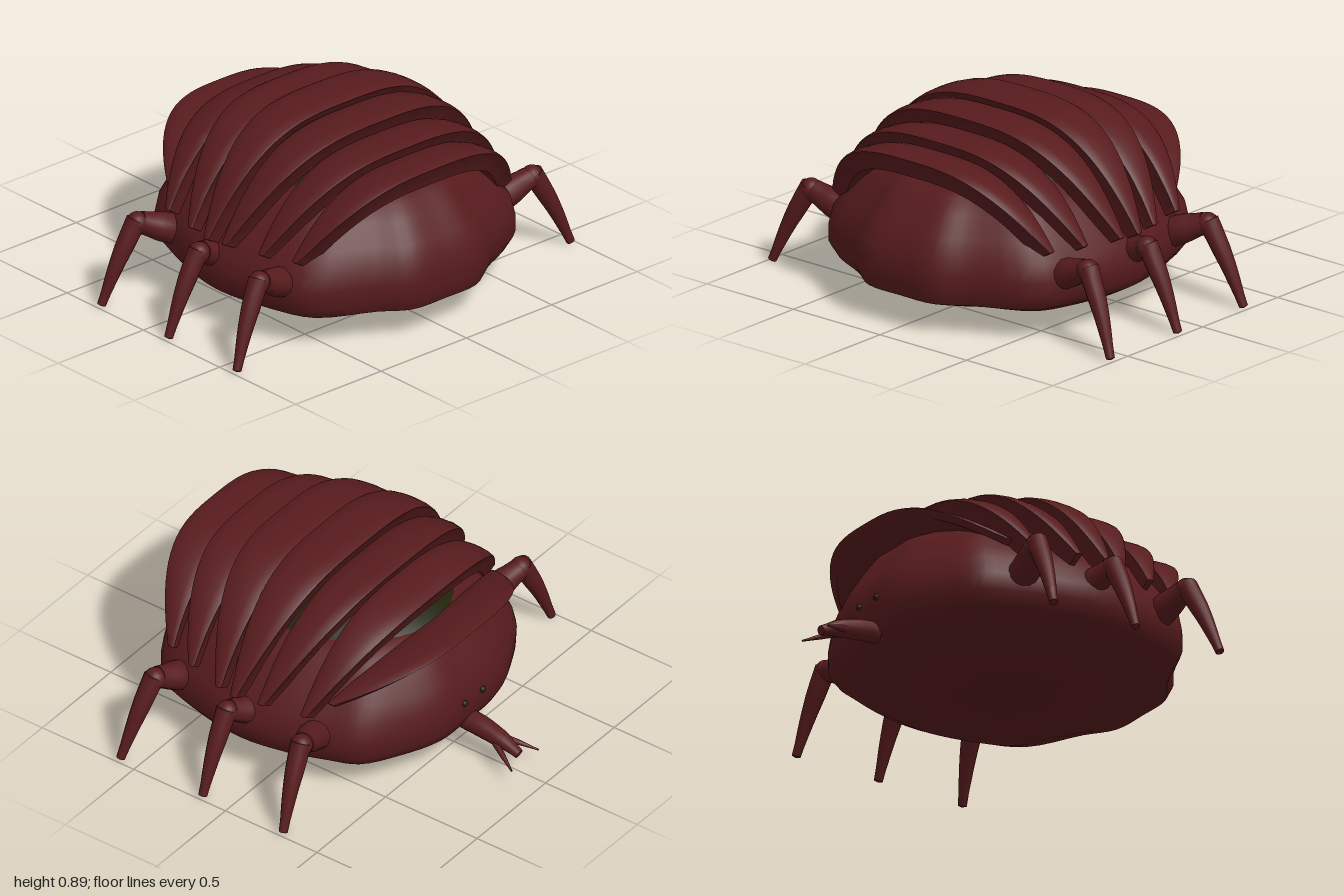
import * as THREE from 'three';
import { toCreasedNormals } from 'three/addons/utils/BufferGeometryUtils.js';

const V = (x, y, z) => new THREE.Vector3(x, y, z);

const material = (name, color) => {
  const m = new THREE.MeshStandardMaterial({ color });
  m.name = name;
  return m;
};

// Skin a list of equally sized closed rings.
function loft(rings, crease) {
  const n = rings[0].length, index = [];
  for (let i = 0; i < rings.length - 1; i++) {
    for (let j = 0; j < n; j++) {
      const a = i * n + j, b = i * n + (j + 1) % n;
      index.push(a, a + n, b, b, a + n, b + n);
    }
  }
  const g = new THREE.BufferGeometry().setFromPoints(rings.flat());
  g.setIndex(index);
  g.computeVertexNormals();
  return toCreasedNormals(g, crease);
}

// Tube along a curve with a radius that changes along its length; ends closed.
function taper(points, radii) {
  const curve = new THREE.CatmullRomCurve3(points);
  const steps = 14, sides = 14;
  const g = new THREE.TubeGeometry(curve, steps, 1, sides);
  const p = g.attributes.position, v = V();
  for (let i = 0; i <= steps; i++) {
    const t = i / steps, f = t * (radii.length - 1);
    const k = Math.min(Math.floor(f), radii.length - 2);
    const end = i === 0 || i === steps ? 0 : 1;
    const r = end * THREE.MathUtils.lerp(radii[k], radii[k + 1], f - k);
    // the outermost rings close the ends as shallow caps
    const c = curve.getPointAt(t);
    const at = i === 1 ? curve.getPointAt(0.012) : i === steps - 1 ? curve.getPointAt(0.985) : c;
    for (let j = 0; j <= sides; j++) {
      const q = i * (sides + 1) + j;
      v.fromBufferAttribute(p, q).sub(c).multiplyScalar(r).add(at);
      p.setXYZ(q, v.x, v.y, v.z);
    }
  }
  return toCreasedNormals(g, 0.8);
}

// Body: one plan outline, scaled and stacked from belly to back.
function bodyGeometry() {
  const side = [[0.2, -0.6], [0.4, -0.52], [0.57, -0.41], [0.63, -0.28], [0.7, -0.08],
    [0.735, 0.15], [0.685, 0.45], [0.6, 0.65], [0.34, 0.79], [0.2, 0.88]];
  const outline = new THREE.CatmullRomCurve3([
    V(0, 0, -0.605), ...side.map(([x, z]) => V(x, 0, z)),
    V(0, 0, 0.89), ...side.map(([x, z]) => V(-x, 0, z)).reverse(),
  ], true);
  const plan = Array.from({ length: 88 }, (_, j) => outline.getPoint(j / 88));
  const levels = [ // y, half width, front z, back z
    [0.062, 0, 0.12, 0.12], [0.067, 0.35, 0.45, -0.25], [0.105, 0.6, 0.72, -0.46],
    [0.155, 0.69, 0.865, -0.57], [0.21, 0.735, 0.89, -0.6], [0.29, 0.735, 0.89, -0.605],
    [0.37, 0.71, 0.885, -0.598], [0.45, 0.645, 0.84, -0.565], [0.54, 0.58, 0.775, -0.51],
    [0.6, 0.52, 0.725, -0.47], [0.635, 0.42, 0.65, -0.4], [0.65, 0, 0.12, 0.12],
  ];
  return loft(levels.map(([y, w, f, b]) => plan.map(p =>
    V(p.x / 0.735 * w, y, (f + b) / 2 + (p.z - 0.1425) / 0.7475 * (f - b) / 2))), 0.7);
}

// Shell plate: an arch over the body, wide at the crown and pointed at the sides.
function plateGeometry({ top, y, tip, half, width, tilt, tipY = 0.42, depth = 0.085 }) {
  const rings = [], steps = 44, rise = y - 0.016 - tipY;
  for (let i = 0; i <= steps; i++) {
    const s = Math.sin((i / steps - 0.5) * Math.PI);
    const h = 1 - Math.abs(s) ** 3.1;
    const out = V(3.1 * s * Math.abs(s) ** 1.1 / half, 1 / rise, 0).normalize();
    const k = i === 0 || i === steps ? 0 : 1;
    const w = 0.03 + (width - 0.03) * h, b = 0.016 * (0.3 + 0.7 * h);
    const at = (u, r) => V(
      half * s + out.x * r * k,
      tipY + rise * h + out.y * r * k + Math.sin(tilt) * u * w * h * k,
      tip + (top - tip) * h + Math.cos(tilt) * u * w * k);
    rings.push([at(0.47, -0.4 * b), at(0.5, 0), at(0.44, 0.5 * b), at(0.22, b), at(0, 1.1 * b), at(-0.22, b),
      at(-0.44, 0.5 * b), at(-0.5, 0), at(-0.47, -0.4 * b), at(-0.34, -depth), at(0.34, -depth)]);
  }
  return loft(rings, 0.75);
}

export function createModel() {
  const model = new THREE.Group();
  model.name = 'armouredBug';
  const red = material('darkRed', 0x571b1d);
  const green = material('darkGreen', 0x20220a);

  const add = (name, geometry, mat, parent = model) => {
    const mesh = new THREE.Mesh(geometry, mat);
    mesh.name = name;
    parent.add(mesh);
    return mesh;
  };

  add('body', bodyGeometry(), red);

  // Low inner dome, seen only through the slits between the plates
  const dome = add('innerBack', new THREE.SphereGeometry(1, 40, 14, 0, Math.PI * 2, 0, Math.PI / 2), green);
  dome.scale.set(0.5, 0.27, 0.61);
  dome.position.set(0, 0.5, 0.12);

  // Seven plates, front to rear
  const plates = new THREE.Group();
  plates.name = 'shellPlates';
  model.add(plates);
  [
    { top: 0.70, y: 0.77, tip: 0.575, half: 0.63, width: 0.225, tilt: 0.1 },
    { top: 0.515, y: 0.81, tip: 0.42, half: 0.69, width: 0.23, tilt: 0.08 },
    { top: 0.325, y: 0.867, tip: 0.235, half: 0.74, width: 0.235, tilt: 0.06 },
    { top: 0.105, y: 0.893, tip: 0.14, half: 0.76, width: 0.235, tilt: 0 },
    { top: -0.105, y: 0.85, tip: 0.01, half: 0.735, width: 0.22, tilt: -0.08 },
    { top: -0.297, y: 0.797, tip: -0.19, half: 0.69, width: 0.205, tilt: 0.15 },
    { top: -0.5, y: 0.67, tip: -0.27, half: 0.6, width: 0.25, tilt: -0.2, tipY: 0.47, depth: 0.03 },
  ].forEach((spec, i) => add('plate' + (i + 1), plateGeometry(spec), red, plates));

  // Three pairs of legs: hip z, knee z, foot z
  [['front', 0.505, 0.535, 0.59], ['middle', 0.1, 0.14, 0.14], ['rear', -0.22, -0.265, -0.3]]
    .forEach(([label, hip, knee, foot]) => {
      for (const s of [1, -1]) {
        const leg = new THREE.Group();
        leg.name = label + (s > 0 ? 'LeftLeg' : 'RightLeg');
        model.add(leg);
        add('thigh', taper([V(s * 0.5, 0.26, hip - 0.01), V(s * 0.63, 0.305, hip), V(s * 0.79, 0.37, knee)],
          [0.075, 0.072, 0.065, 0.045]), red, leg);
        add('knee', new THREE.SphereGeometry(0.05, 18, 12), red, leg).position.set(s * 0.8, 0.37, knee);
        add('shin', taper([V(s * 0.8, 0.39, knee), V(s * 0.9, 0.2, (knee + foot) / 2), V(s * 0.98, 0.01, foot)],
          [0.048, 0.042, 0.03, 0.017]), red, leg);
      }
    });

  // Forked snout at the rear, with a pair of eyes above it
  add('snout', taper([V(0, 0.17, -0.56), V(0, 0.16, -0.66), V(0, 0.135, -0.77), V(0, 0.1, -0.86)],
    [0.05, 0.048, 0.04, 0.018]), red);
  for (const s of [1, -1]) {
    add('snoutSpike', taper([V(s * 0.025, 0.13, -0.74), V(s * 0.05, 0.115, -0.79), V(s * 0.098, 0.08, -0.89)],
      [0.016, 0.012, 0.003]), red);
    const eye = add('eye', new THREE.SphereGeometry(0.015, 14, 10), green);
    eye.position.set(s * 0.065, 0.305, -0.605);
  }
  return model;
}
